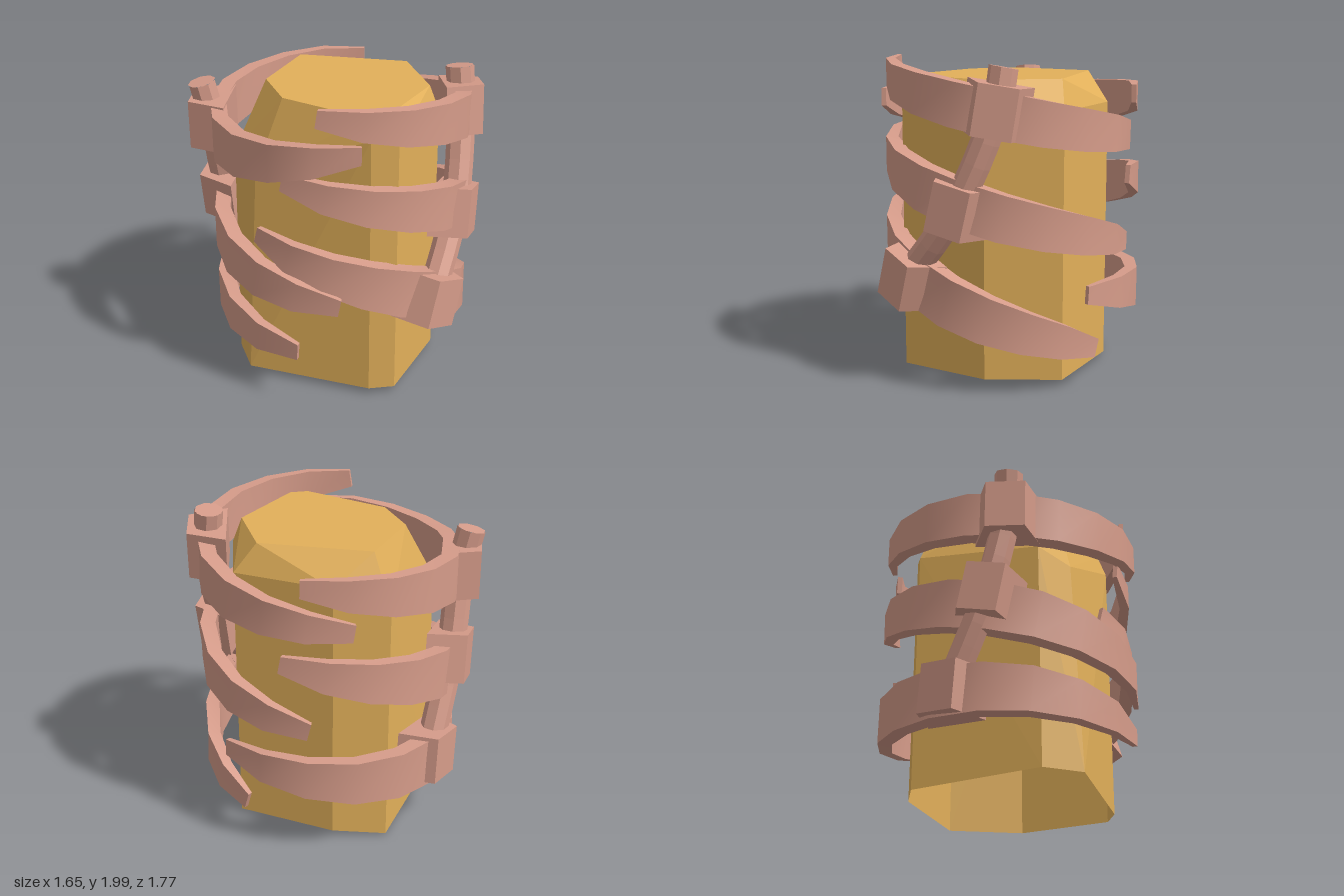
import * as THREE from 'three';
import { ConvexGeometry } from 'three/addons/geometries/ConvexGeometry.js';

const V = (x, y, z) => new THREE.Vector3(x, y, z);
const lerp = THREE.MathUtils.lerp;

// Faceted core, open below: one outline gives base and shoulder, a smaller one the top
function coreGeometry() {
  const outline = [ // x, z, shoulder height
    [-0.71, -0.04, 1.42], [-0.21, 0.6, 1.76], [-0.06, 0.67, 1.76], [0.46, 0.37, 1.72],
    [0.69, -0.05, 1.7], [0.33, -0.58, 1.7], [0.03, -0.74, 1.55], [-0.64, -0.29, 1.48],
  ];
  const top = [[0.06, -0.6], [0.56, -0.11], [0.42, 0.32], [-0.09, 0.58], [-0.2, 0.54], [-0.44, 0], [-0.36, -0.33]];
  const points = top.map(([x, z]) => V(x, 1.88, z));
  for (const [x, z, y] of outline) {
    points.push(V(x, z < -0.7 ? 0 : 0.04, z), V(Math.max(x, -0.62), y, z));
  }
  const hull = new ConvexGeometry(points);
  const { position, normal } = hull.attributes;
  const corners = [];
  for (let i = 0; i < position.count; i++) {
    if (normal.getY(i) > -0.7) corners.push(V().fromBufferAttribute(position, i));
  }
  const geo = new THREE.BufferGeometry().setFromPoints(corners);
  geo.computeVertexNormals();
  return geo;
}

// Curved band that thins towards both ends; its edges lean with the slope
function bandGeometry(from, to, thickHeight, heights, radius, lean) {
  const rise = new THREE.CatmullRomCurve3(heights.map((y, i) => V(i, y, 0)));
  const geo = new THREE.BoxGeometry(1, 1, 1, 10, 1, 1);
  const pos = geo.attributes.position;
  for (let i = 0; i < pos.count; i++) {
    const t = THREE.MathUtils.clamp(pos.getX(i) + 0.5, 0, 1);
    const swell = Math.pow(Math.max(0, Math.sin(Math.PI * t)), 0.7);
    const up = pos.getY(i) * lerp(0.11, thickHeight, swell);
    const r = radius * lerp(0.963, 1, swell) - (0.5 - pos.getZ(i)) * lerp(0.03, 0.1, swell);
    const a = THREE.MathUtils.degToRad(lerp(from, to, t)) - lean * up / r;
    // The bands circle a point slightly off the middle
    pos.setXYZ(i, 0.03 + r * Math.cos(a), rise.getPoint(t).y + up, r * Math.sin(a) - 0.03);
  }
  geo.computeVertexNormals();
  return geo;
}

// Clamp block: box narrowed on its outer side
function clampGeometry() {
  const geo = new THREE.BoxGeometry(0.4, 0.31, 0.24);
  const pos = geo.attributes.position;
  for (let i = 0; i < pos.count; i++) {
    if (pos.getZ(i) > 0) pos.setX(i, pos.getX(i) * 0.6);
  }
  geo.computeVertexNormals();
  return geo;
}

export function createModel() {
  const group = new THREE.Group();
  const gold = new THREE.MeshStandardMaterial({ color: 0xe2b05a, side: THREE.DoubleSide });
  gold.name = 'gold';
  const clay = new THREE.MeshStandardMaterial({ color: 0xd69c8a });
  clay.name = 'clay';

  const add = (parent, name, geo, mat) => {
    const mesh = new THREE.Mesh(geo, mat);
    mesh.name = name;
    parent.add(mesh);
    return mesh;
  };

  // One half of the cage: a leaning rod through three clamps, each holding a band
  const addCage = (name, radius, rodPoints, bands) => {
    const cage = new THREE.Group();
    cage.name = name;
    group.add(cage);

    // Rod with eight flat sides, from the lowest clamp to a closed tip
    const curve = new THREE.CatmullRomCurve3(rodPoints);
    const tube = new THREE.TubeGeometry(curve, 10, 0.088, 8).toNonIndexed();
    tube.computeVertexNormals();
    add(cage, 'rod', tube, clay);
    const tip = add(cage, 'rodTip', new THREE.CircleGeometry(0.088, 8), clay);
    tip.position.copy(rodPoints[3]);
    tip.lookAt(rodPoints[3].clone().add(curve.getTangent(1)));

    bands.forEach(([from, to, thickHeight, ...heights], i) => {
      const lean = (heights[0] - heights[3]) / (THREE.MathUtils.degToRad(from - to) * radius);
      add(cage, 'band', bandGeometry(from, to, thickHeight, heights, radius, lean), clay);

      // Clamp faces outward and tilts with its band
      const clamp = add(cage, 'clamp', clampGeometry(), clay);
      clamp.position.copy(rodPoints[i]);
      clamp.rotation.order = 'YXZ';
      clamp.rotation.y = Math.atan2(rodPoints[i].x, rodPoints[i].z);
      clamp.rotation.z = -Math.atan(lean);
    });
  };

  add(group, 'core', coreGeometry(), gold);

  // Bands, lowest first: start angle, end angle, height at the middle, then four heights along the way
  addCage('frontCage', 0.795,
    [V(0.16, 0.67, 0.74), V(0.46, 1.13, 0.56), V(0.63, 1.72, 0.375), V(0.64, 1.97, 0.33)],
    [
      [169, -17, 0.3, 1.09, 0.82, 0.5, 0.235],
      [153, -50, 0.28, 1.5, 1.29, 1.045, 0.83],
      [136, -70, 0.27, 1.93, 1.79, 1.61, 1.47],
    ]);
  addCage('backCage', 0.845,
    [V(-0.31, 0.5, -0.72), V(-0.53, 1.08, -0.61), V(-0.64, 1.61, -0.54), V(-0.69, 1.86, -0.56)],
    [
      [352, 145, 0.31, 0.6, 0.5, 0.47, 0.38],
      [322, 126, 0.31, 1.285, 1.09, 0.9, 0.73],
      [313, 117, 0.3, 1.77, 1.65, 1.6, 1.73],
    ]);
  return group;
}
